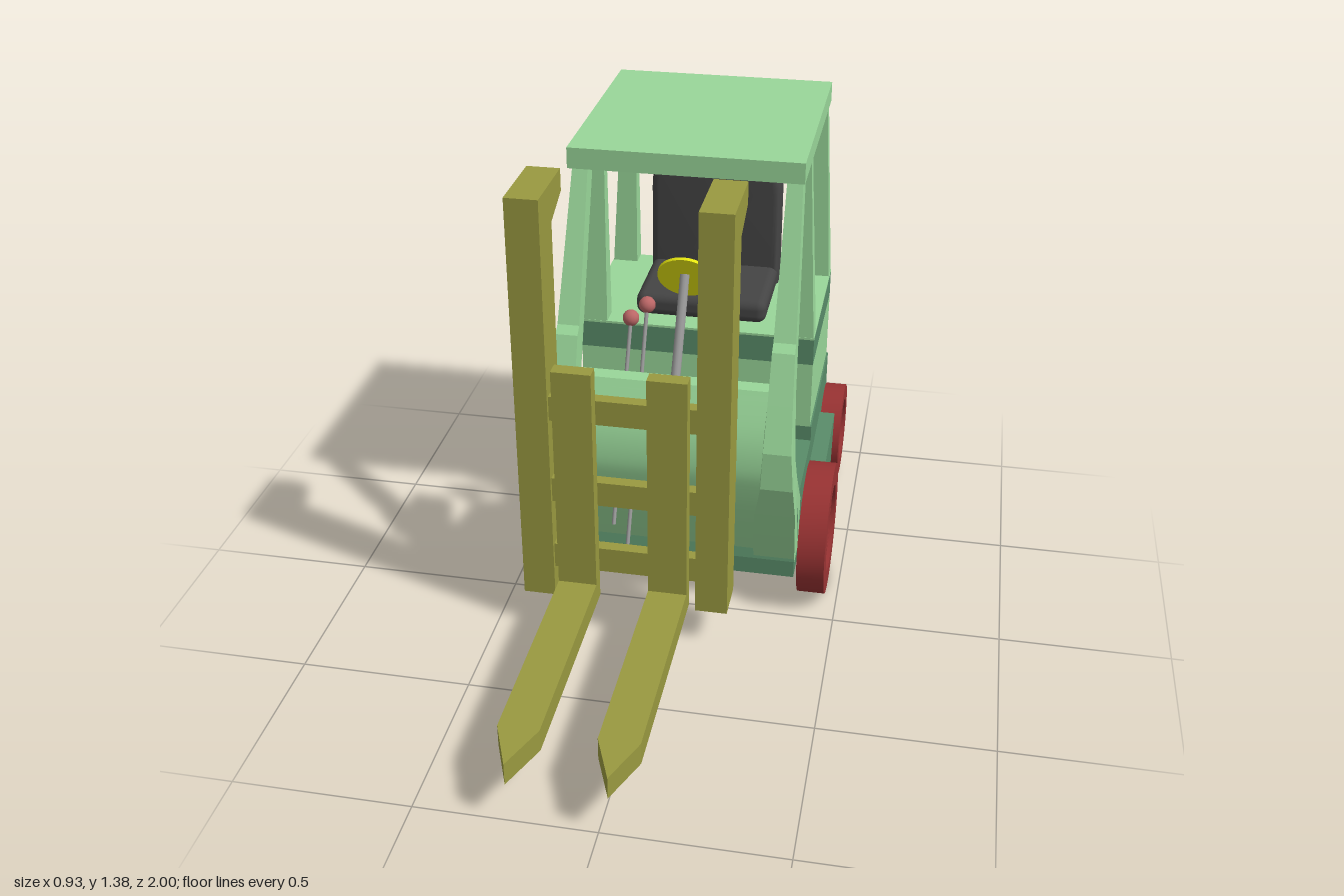
import * as THREE from 'three';
import { toCreasedNormals } from 'three/addons/utils/BufferGeometryUtils.js';
import { RoundedBoxGeometry } from 'three/addons/geometries/RoundedBoxGeometry.js';

const mat = (color) => new THREE.MeshStandardMaterial({ color });
const M = {
  light: mat(0x99d699), dark: mat(0x598c69), mast: mat(0x999940), tyre: mat(0x993333), hub: mat(0xaa88b0),
  purple: mat(0xaa44aa), seat: mat(0x444444), yellow: mat(0xe8e810), knob: mat(0xbb6666), steel: mat(0x999999),
};
const V = (x, y, z) => new THREE.Vector3(x, y, z);
const lerp = THREE.MathUtils.lerp;

// Piecewise-linear lookup in a list of [key, value], keys ascending
function ramp(list, k) {
  if (k <= list[0][0]) return list[0][1];
  for (let i = 1; i < list.length; i++) {
    const [a, va] = list[i - 1], [b, vb] = list[i];
    if (k <= b) return lerp(va, vb, (k - a) / (b - a));
  }
  return list[list.length - 1][1];
}

// Side profile of [z, y] points swept across x0..x1
function sideExtrude(profile, x0, x1) {
  const shape = new THREE.Shape(profile.map(([z, y]) => new THREE.Vector2(z, y)));
  const g = new THREE.ExtrudeGeometry(shape, { depth: x1 - x0, bevelEnabled: false });
  return g.rotateY(-Math.PI / 2).translate(x1, 0, 0);
}

// Box given by its limits
function box(x0, x1, y0, y1, z0, z1) {
  return new THREE.BoxGeometry(x1 - x0, y1 - y0, z1 - z0)
    .translate((x0 + x1) / 2, (y0 + y1) / 2, (z0 + z1) / 2);
}

// Rod between two points
function rod(a, b, r, sides = 10) {
  const d = b.clone().sub(a);
  const g = new THREE.CylinderGeometry(r, r, d.length(), sides);
  g.applyQuaternion(new THREE.Quaternion().setFromUnitVectors(V(0, 1, 0), d.normalize()));
  return g.translate((a.x + b.x) / 2, (a.y + b.y) / 2, (a.z + b.z) / 2);
}

export function createModel() {
  const model = new THREE.Group();
  model.name = 'forklift';
  const add = (name, geometry, material, parent = model) => {
    const mesh = new THREE.Mesh(geometry, material);
    mesh.name = name;
    parent.add(mesh);
    return mesh;
  };

  // Chassis and banded counterweight
  add('chassis', sideExtrude([[-0.04, 0.115], [-0.04, 0.17], [-0.1, 0.38], [-0.415, 0.38], [-0.415, 0.43],
    [-0.93, 0.43], [-0.93, 0.26], [-0.65, 0.115]], -0.37, 0.37), M.dark);
  add('counterweightBand', box(-0.365, 0.365, 0.43, 0.65, -0.93, -0.415), M.light);
  add('counterweightRim', box(-0.365, 0.365, 0.65, 0.735, -0.93, -0.415), M.dark);
  add('counterweightTop', box(-0.365, 0.365, 0.735, 0.742, -0.93, -0.415), M.light);
  add('floorBox', box(-0.26, 0.255, 0.37, 0.43, -0.415, -0.125), M.purple);

  // Side steps between the wheels
  const step = [[-0.4, 0.115], [-0.4, 0.29], [-0.71, 0.318], [-0.65, 0.115]];
  add('leftStep', sideExtrude(step, 0.36, 0.42), M.dark);
  add('rightStep', sideExtrude(step, -0.463, -0.36), M.dark);

  // Curved front cowl, a thick sheet following a spline
  const curve = new THREE.SplineCurve([[-0.04, 0.75], [0.02, 0.63], [0.04, 0.53], [0.03, 0.45], [-0.005, 0.32],
    [-0.06, 0.17]].map(([z, y]) => new THREE.Vector2(z, y)));
  const outer = curve.getPoints(20).map((p) => [p.x, p.y]);
  const inner = outer.map(([z, y]) => [z - 0.05, y]).reverse();
  add('frontCowl', toCreasedNormals(sideExtrude([...outer, ...inner], -0.28, 0.28), 0.6), M.light);

  // Bent front pillars that widen towards the floor
  const pillarProfile = [[-0.225, 1.32], [-0.06, 0.9], [-0.035, 0.88], [0.02, 0.74], [0.07, 0.61], [0.07, 0.49],
    [0.035, 0.38], [0, 0.285], [-0.05, 0.16], [-0.15, 0.16], [-0.11, 0.36], [-0.03, 0.48], [-0.01, 0.56],
    [-0.055, 0.74], [-0.12, 0.9], [-0.29, 1.32]];
  const outX = [[0.16, 0.37], [0.4, 0.375], [0.6, 0.36], [0.75, 0.352], [1.32, 0.33]];
  const inX = [[0.16, 0.245], [0.35, 0.25], [0.5, 0.275], [0.7, 0.28], [1.32, 0.285]];
  for (const s of [1, -1]) {
    const g = sideExtrude(pillarProfile, 0, 1);
    const p = g.attributes.position;
    for (let i = 0; i < p.count; i++) {
      const a = ramp(inX, p.getY(i)), b = ramp(outX, p.getY(i)), t = p.getX(i);
      p.setX(i, s > 0 ? lerp(a, b, t) : lerp(-b, -a, t));
    }
    g.computeVertexNormals();
    add(s > 0 ? 'leftFrontPillar' : 'rightFrontPillar', g, M.light);
  }

  // Tapered posts on the counterweight
  for (const s of [1, -1]) {
    for (const [label, z] of [['Middle', -0.448], ['Rear', -0.905]]) {
      const g = new THREE.BoxGeometry(0.08, 0.585, 0.064).toNonIndexed();
      const p = g.attributes.position;
      for (let i = 0; i < p.count; i++) {
        if (p.getY(i) < 0) continue;
        p.setX(i, p.getX(i) * 0.56 - s * 0.015);
        p.setZ(i, p.getZ(i) * 0.53);
      }
      g.computeVertexNormals();
      add((s > 0 ? 'left' : 'right') + label + 'Post', g.translate(s * 0.323, 1.032, z), M.light);
    }
  }
  add('roof', box(-0.345, 0.335, 1.315, 1.377, -0.95, -0.223), M.light);

  // Wheels: tyre ring with a stepped lip and a recessed hub on both faces
  function wheel(name, x0, x1, y, z, r, hubR) {
    const g = new THREE.Group();
    g.name = name;
    const h = (x1 - x0) / 2, lip = hubR * 1.12;
    const ring = [[hubR, -h + 0.03], [hubR, -h + 0.012], [lip, -h + 0.012], [lip, -h], [r, -h], [r, h], [lip, h],
      [lip, h - 0.012], [hubR, h - 0.012], [hubR, h - 0.03]].map(([a, b]) => new THREE.Vector2(a, b));
    const tyre = toCreasedNormals(new THREE.LatheGeometry(ring, 40), 0.6);
    add('tyre', tyre.rotateZ(-Math.PI / 2), M.tyre, g);
    add('hub', new THREE.CylinderGeometry(hubR, hubR, 2 * h - 0.05, 40).rotateZ(-Math.PI / 2), M.hub, g);
    g.position.set((x0 + x1) / 2, y, z);
    model.add(g);
  }
  wheel('leftFrontWheel', 0.382, 0.465, 0.203, -0.197, 0.203, 0.12);
  wheel('rightFrontWheel', -0.465, -0.385, 0.203, -0.197, 0.203, 0.12);
  wheel('leftRearWheel', 0.372, 0.44, 0.182, -0.845, 0.155, 0.094);
  wheel('rightRearWheel', -0.45, -0.385, 0.182, -0.845, 0.155, 0.094);

  // Mast rails with backward hooks at the top
  const rail = [[0.18, 0.115], [0.18, 1.38], [-0.055, 1.38], [-0.055, 1.315], [0.055, 1.268], [0.055, 0.115]];
  add('leftMastRail', sideExtrude(rail, 0.105, 0.2), M.mast);
  add('rightMastRail', sideExtrude(rail, -0.415, -0.32), M.mast);
  for (const [y0, y1] of [[0.21, 0.29], [0.44, 0.518], [0.71, 0.787]]) {
    add('carriageBar', box(-0.325, 0.11, y0, y1, 0.13, 0.167), M.mast);
  }

  // Forks with pointed tips and upright backs
  for (const [label, x] of [['left', 0.027], ['right', -0.242]]) {
    const w = 0.057;
    const plan = new THREE.Shape([[-w, -0.165], [w, -0.165], [w, -0.86], [0, -1], [-w, -0.86]]
      .map(([a, b]) => new THREE.Vector2(a, b)));
    const fork = new THREE.ExtrudeGeometry(plan, { depth: 0.067, bevelEnabled: false });
    add(label + 'Fork', fork.rotateX(-Math.PI / 2).translate(x, 0.122, 0), M.mast);
    add(label + 'ForkUpright', box(x - w, x + w, 0.122, 0.89, 0.165, 0.21), M.mast);
  }

  // Seat: padded cushion and arched backrest
  add('seatCushion', new RoundedBoxGeometry(0.41, 0.075, 0.36, 4, 0.028).translate(0, 0.778, -0.655), M.seat);
  const back = new THREE.Shape();
  back.moveTo(-0.185, 0.775);
  back.lineTo(0.185, 0.775);
  back.lineTo(0.185, 1.06);
  back.bezierCurveTo(0.185, 1.16, 0.14, 1.185, 0, 1.203);
  back.bezierCurveTo(-0.14, 1.185, -0.185, 1.16, -0.185, 1.06);
  const pad = new THREE.ExtrudeGeometry(back, {
    depth: 0.06, bevelSize: 0.022, bevelThickness: 0.022, bevelSegments: 4, curveSegments: 10,
  });
  add('seatBack', toCreasedNormals(pad.translate(0, 0, -0.828), 0.8), M.seat);

  // Steering wheel and column
  const hub = V(0, 1.006, -0.222), axis = V(0, 0.46, -0.89);
  add('steeringWheel', rod(hub.clone().addScaledVector(axis, -0.005), hub.clone().addScaledVector(axis, 0.005),
    0.083, 32), M.yellow);
  add('steeringColumn', rod(V(0, 1.02, -0.208), V(0, 0.64, 0), 0.014, 12), M.steel);

  // Control levers with ball knobs
  for (const [x, y, end] of [[-0.12, 0.893, V(-0.12, 0.2, 0.095)], [-0.17, 0.845, V(-0.17, 0.29, 0.035)]]) {
    const top = V(x, y, -0.248);
    add('controlLever', rod(top, end, 0.006, 8), M.steel);
    add('leverKnob', new THREE.SphereGeometry(0.025, 16, 12).translate(top.x, top.y, top.z), M.knob);
  }
  return model;
}
